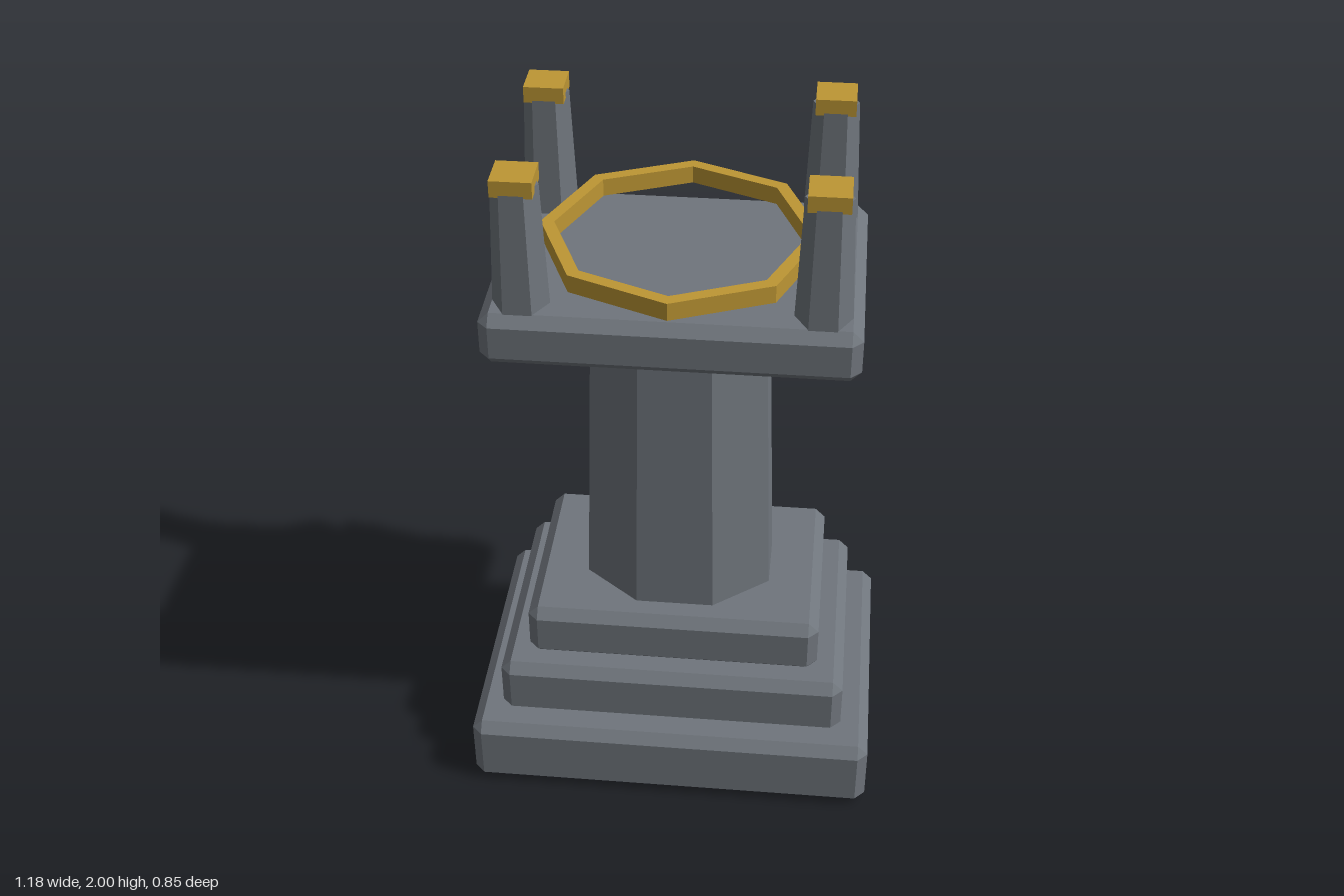
import * as THREE from 'three';
import { ConvexGeometry } from 'three/addons/geometries/ConvexGeometry.js';

const stone = new THREE.MeshStandardMaterial({ color: 0x6f757c, flatShading: true });
stone.name = 'grey stone';
const gold = new THREE.MeshStandardMaterial({ color: 0xbd9634, flatShading: true });
gold.name = 'gold';

// Box with every edge chamfered by c
function chamferedBox(w, h, d, c) {
  const half = [w / 2, h / 2, d / 2];
  const points = [];
  for (const sx of [-1, 1]) for (const sy of [-1, 1]) for (const sz of [-1, 1]) {
    for (let axis = 0; axis < 3; axis++) {
      const p = half.map((v, i) => (i === axis ? v : v - c));
      points.push(new THREE.Vector3(sx * p[0], sy * p[1], sz * p[2]));
    }
  }
  return new ConvexGeometry(points);
}

export function createModel() {
  const model = new THREE.Group();
  model.name = 'pedestal';

  const add = (name, geometry, material, x, y, z) => {
    const mesh = new THREE.Mesh(geometry, material);
    mesh.name = name;
    mesh.position.set(x, y, z);
    model.add(mesh);
    return mesh;
  };

  // Stepped base and upper platform: width, depth, bottom, top
  const slabs = [
    ['baseStep', 1.18, 0.85, 0, 0.22],
    ['middleStep', 1.01, 0.71, 0.22, 0.405],
    ['upperStep', 0.85, 0.59, 0.405, 0.575],
    ['platform', 0.99, 0.705, 1.475, 1.625],
  ];
  for (const [name, w, d, y0, y1] of slabs) {
    add(name, chamferedBox(w, y1 - y0, d, 0.029), stone, 0, (y0 + y1) / 2, 0);
  }

  // Tapered eight-sided column, flattened front to back
  const shaft = new THREE.CylinderGeometry(0.26, 0.292, 0.92, 8);
  shaft.rotateY(Math.PI / 8);
  shaft.scale(1, 1, 0.79);
  add('column', shaft, stone, 0, 1.025, 0);

  // Floating eight-sided ring with a rectangular section
  const section = [[0.377, 0], [0.377, 0.05], [0.34, 0.05], [0.34, 0], [0.377, 0]]
    .map(([r, y]) => new THREE.Vector2(r, y));
  add('ring', new THREE.LatheGeometry(section, 8), gold, 0, 1.664, 0);

  // Corner posts with square caps
  const post = new THREE.CylinderGeometry(0.062, 0.076, 0.355, 6);
  post.rotateY(Math.PI / 6);
  const cap = new THREE.BoxGeometry(0.108, 0.045, 0.108);
  for (const sx of [-1, 1]) for (const sz of [-1, 1]) {
    const label = (sz > 0 ? 'front' : 'back') + (sx > 0 ? 'Left' : 'Right');
    add(label + 'Post', post, stone, sx * 0.39, 1.7925, sz * 0.26);
    add(label + 'Cap', cap, gold, sx * 0.39, 1.9775, sz * 0.26);
  }
  return model;
}
